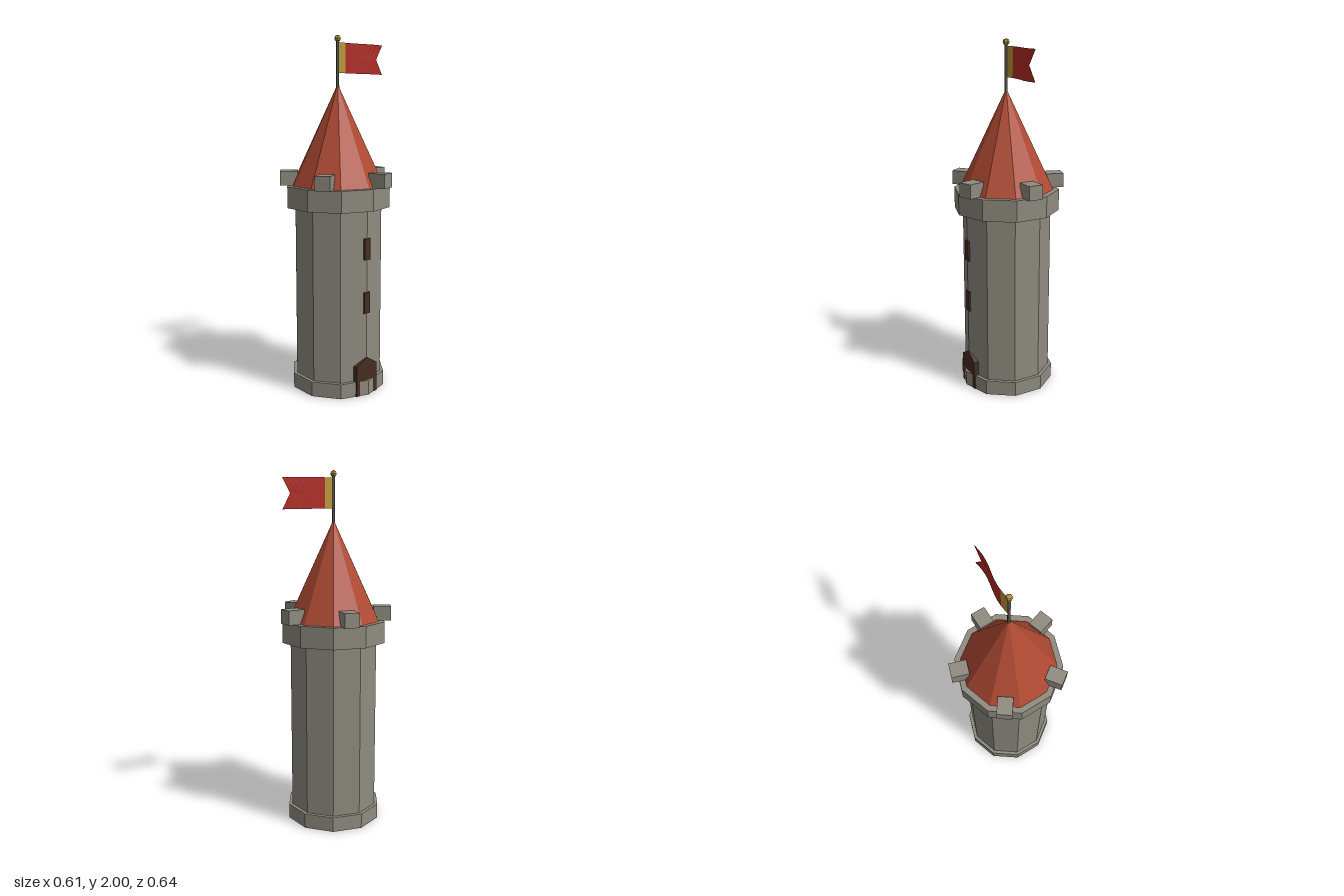
import * as THREE from 'three';

const mat = (name, color, extra = {}) => {
  const m = new THREE.MeshStandardMaterial({ color, flatShading: true, ...extra });
  m.name = name;
  return m;
};

export function createModel() {
  const stone = mat('stone', 0x8f8b80);
  const roofRed = mat('roofTiles', 0xb04a33);
  const wood = mat('darkWood', 0x462d22);
  const iron = mat('poleGrey', 0x6c6a66);
  const gold = mat('gold', 0xb8963c, { side: THREE.DoubleSide });
  const flagRed = mat('flagRed', 0xb02a22, { side: THREE.DoubleSide });

  const model = new THREE.Group();
  model.name = 'tower';
  const tower = new THREE.Group();
  tower.name = 'towerBody';
  tower.position.x = -0.021; // the flag shifts the overall centre
  model.add(tower);

  const add = (name, geo, material, x = 0, y = 0, z = 0) => {
    const mesh = new THREE.Mesh(geo, material);
    mesh.name = name;
    mesh.position.set(x, y, z);
    tower.add(mesh);
    return mesh;
  };
  // ten-sided drum from y0 to y1
  const drum = (name, r, y0, y1) =>
    add(name, new THREE.CylinderGeometry(r, r, y1 - y0, 10), stone, 0, (y0 + y1) / 2, 0);

  // Masonry
  drum('base', 0.273, 0, 0.085);
  drum('shaft', 0.253, 0.02, 1.06);
  drum('parapet', 0.3, 1.055, 1.175);

  // Battlements
  for (let i = 0; i < 5; i++) {
    const a = (i * Math.PI * 2) / 5;
    const merlon = add('merlon', new THREE.BoxGeometry(0.1, 0.08, 0.084), stone,
      0.275 * Math.cos(a), 1.215, -0.275 * Math.sin(a));
    merlon.rotation.y = a;
  }

  // Roof
  add('roof', new THREE.ConeGeometry(0.267, 0.56, 10), roofRed, 0, 1.455, 0);

  // Pointed door
  const doorShape = new THREE.Shape([
    [-0.075, 0], [0.075, 0], [0.075, 0.172], [0, 0.218], [-0.075, 0.172],
  ].map(([x, y]) => new THREE.Vector2(x, y)));
  add('door', new THREE.ExtrudeGeometry(doorShape, { depth: 0.03, bevelEnabled: false }),
    wood, 0, 0, 0.227);

  // Slit windows
  for (const y of [0.535, 0.84]) {
    add('window', new THREE.BoxGeometry(0.04, 0.12, 0.02), wood, 0, y, 0.247);
  }

  // Flagpole and finial
  add('flagpole', new THREE.CylinderGeometry(0.009, 0.009, 0.28, 6), iron, 0, 1.84, 0);
  add('finial', new THREE.SphereGeometry(0.019, 6, 4), gold, 0, 1.981, 0);

  // Rippling flag: a strip between two x positions, optionally with a swallowtail
  const x0 = 0.008, x1 = 0.324;
  const flagStrip = (name, material, a, b, segments, notch) => {
    const geo = new THREE.PlaneGeometry(1, 1, segments, 2);
    const p = geo.attributes.position;
    for (let i = 0; i < p.count; i++) {
      const u = p.getX(i) + 0.5, v = p.getY(i);
      let x = a + (b - a) * u;
      // pull the middle row back toward the pole near the free end
      if (v === 0) x -= notch * u;
      const t = (x - x0) / (x1 - x0);
      const z = 0.012 * t - 0.009 * Math.sin(t * Math.PI * 2);
      p.setXYZ(i, x, 1.878 - 0.005 * t + v * 0.166, z);
    }
    geo.computeVertexNormals();
    add(name, geo, material);
  };
  flagStrip('flagBand', gold, x0, 0.062, 2, 0);
  flagStrip('flagCloth', flagRed, 0.062, x1, 8, 0.052);

  return model;
}
